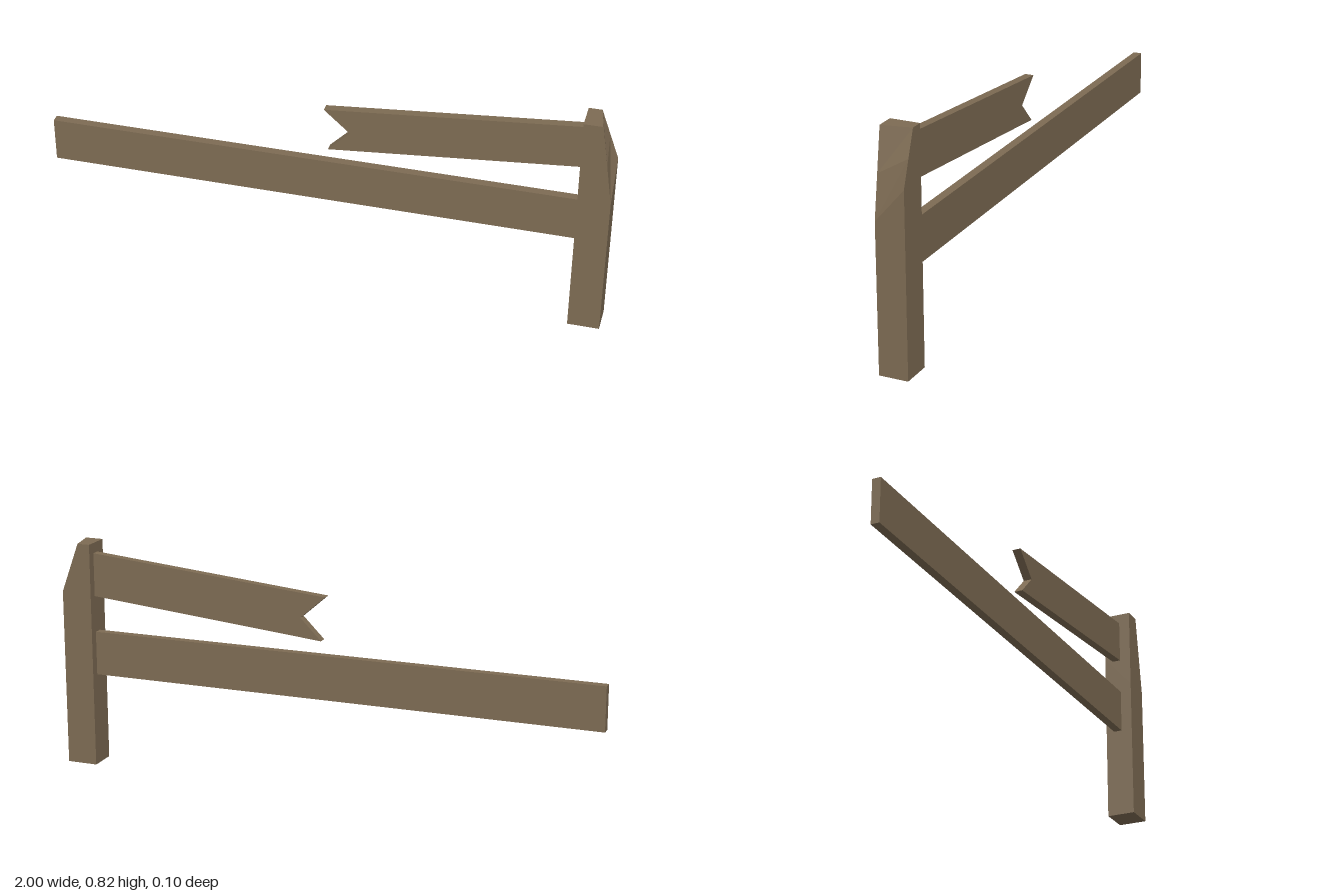
import * as THREE from 'three';

// Plank cut from a side outline
function plank(name, points, material) {
  const shape = new THREE.Shape(points.map(([x, y]) => new THREE.Vector2(x, y)));
  const geometry = new THREE.ExtrudeGeometry(shape, { depth: 0.031, bevelEnabled: false });
  const mesh = new THREE.Mesh(geometry, material);
  mesh.name = name;
  mesh.position.z = -0.021;
  return mesh;
}

// Square post whose top outer edge is cut at a twisted slant
function postGeometry() {
  const left = 0.888, z = 0.052;
  // each section: [front x, front y, back x, back y] along the outer edge
  const sections = [
    [1, 0, 1, 0],
    [1, 0.525, 1, 0.645],
    [0.977, 0.675, 0.967, 0.735],
    [0.954, 0.825, 0.934, 0.825],
  ];
  const rings = sections.map(([fx, fy, bx, by]) => [
    [left, fy, z], [fx, fy, z], [bx, by, -z], [left, by, -z],
  ]);
  const positions = [];
  const quad = (a, b, c, d) => positions.push(...a, ...b, ...c, ...a, ...c, ...d);
  for (let i = 0; i < rings.length - 1; i++) {
    for (let j = 0; j < 4; j++) {
      const k = (j + 1) % 4;
      quad(rings[i][j], rings[i][k], rings[i + 1][k], rings[i + 1][j]);
    }
  }
  quad(...rings[rings.length - 1]);
  quad(...[...rings[0]].reverse());
  const geometry = new THREE.BufferGeometry();
  geometry.setAttribute('position', new THREE.Float32BufferAttribute(positions, 3));
  geometry.computeVertexNormals();
  return geometry;
}

export function createModel() {
  const group = new THREE.Group();
  group.name = 'brokenFence';
  const wood = new THREE.MeshStandardMaterial({ color: 0x7d6b53 });
  wood.name = 'weatheredWood';

  const post = new THREE.Mesh(postGeometry(), wood);
  post.name = 'post';
  group.add(post);

  // Whole lower rail
  group.add(plank('lowerRail', [[-1, 0.337], [0.9, 0.337], [0.9, 0.497], [-1, 0.497]], wood));

  // Tilted upper rail with a notched, snapped end
  group.add(plank('brokenUpperRail', [
    [0.013, 0.549], [0.9, 0.631], [0.9, 0.789], [-0.002, 0.707], [0.09, 0.626],
  ], wood));

  return group;
}
